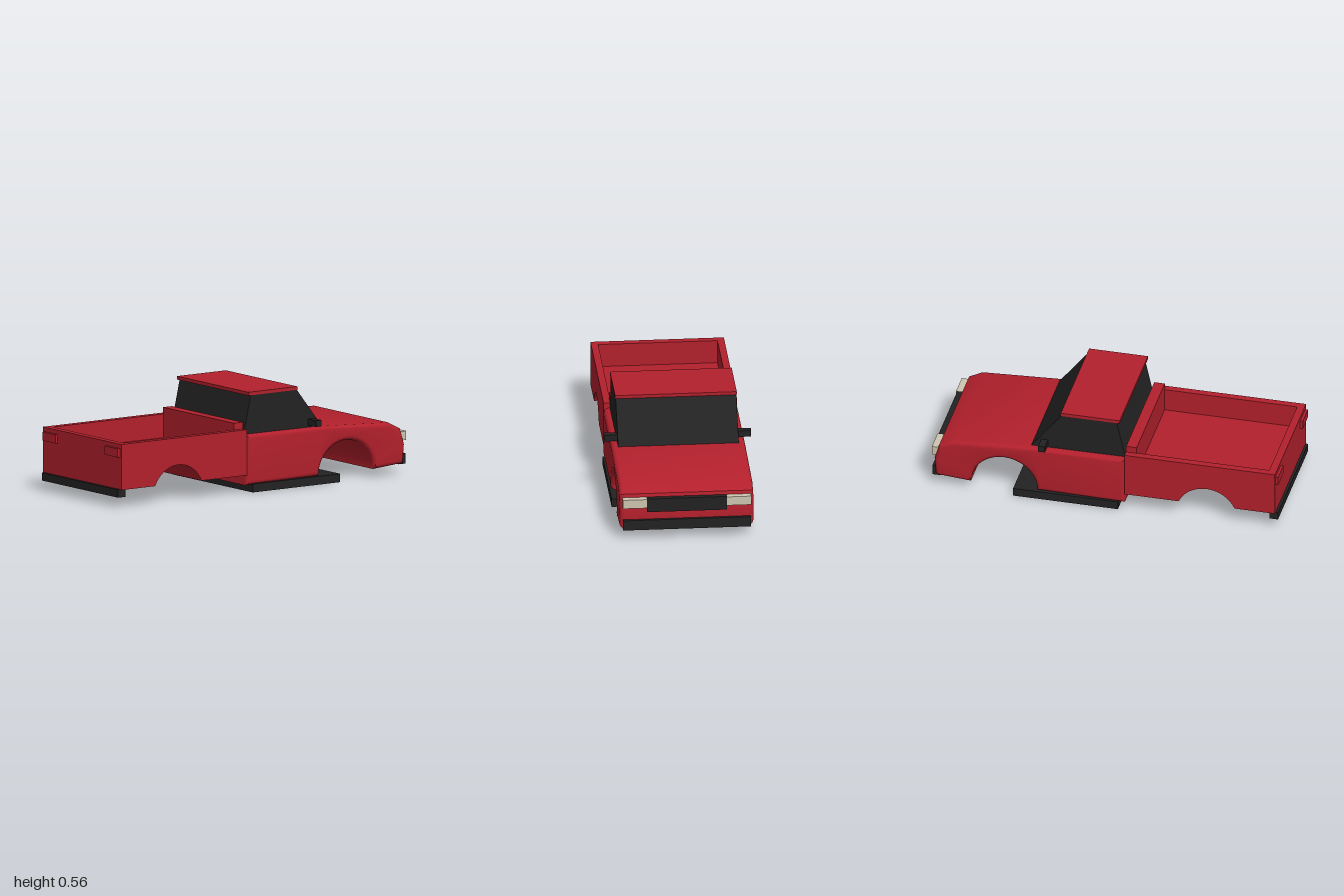
import * as THREE from 'three';
import { toCreasedNormals } from 'three/addons/utils/BufferGeometryUtils.js';

const red = new THREE.MeshStandardMaterial({ color: 0xb3202c });
red.name = 'red paint';
const black = new THREE.MeshStandardMaterial({ color: 0x222222 });
black.name = 'black trim';
const cream = new THREE.MeshStandardMaterial({ color: 0xcec5b0 });
cream.name = 'cream lamp';

export function createModel() {
  const truck = new THREE.Group();
  truck.name = 'pickupTruck';

  function add(name, geometry, material) {
    const mesh = new THREE.Mesh(geometry, material);
    mesh.name = name;
    truck.add(mesh);
    return mesh;
  }

  // Box given by its minimum and maximum on each axis
  function box(name, material, [x0, x1], [y0, y1], [z0, z1]) {
    const mesh = add(name, new THREE.BoxGeometry(x1 - x0, y1 - y0, z1 - z0), material);
    mesh.position.set((x0 + x1) / 2, (y0 + y1) / 2, (z0 + z1) / 2);
    return mesh;
  }

  // Side profile extruded across the width, with optional rounded side edges
  function across(shape, halfWidth, bevel = 0) {
    const geometry = new THREE.ExtrudeGeometry(shape, {
      depth: 2 * (halfWidth - bevel),
      bevelEnabled: bevel > 0,
      bevelSize: bevel,
      bevelThickness: bevel,
      bevelOffset: -bevel,
      bevelSegments: 4,
      curveSegments: 28,
    });
    geometry.translate(0, 0, bevel - halfWidth);
    return toCreasedNormals(geometry, 0.5);
  }

  // Wheel arch cut from the lower edge, travelling from right to left
  function arch(shape, cx, cy, r, yEdge) {
    const a = Math.asin((yEdge - cy) / r);
    shape.absarc(cx, cy, r, a, Math.PI - a, false);
  }

  // Cab lower body and bonnet
  const front = new THREE.Shape();
  front.moveTo(-0.115, 0.04);
  front.lineTo(-0.115, 0.328);
  front.lineTo(0.43, 0.325);
  front.lineTo(0.88, 0.302);
  front.lineTo(0.957, 0.262);
  front.lineTo(0.985, 0.17);
  front.lineTo(0.975, 0.062);
  front.lineTo(0.774, 0.047);
  arch(front, 0.582, 0.04, 0.192, 0.047);
  front.closePath();
  add('frontBody', across(front, 0.378, 0.025), red);

  // Load bed: floor block with wheel arches, then the rim walls
  const bed = new THREE.Shape();
  bed.moveTo(-0.985, 0.1);
  bed.lineTo(-0.985, 0.225);
  bed.lineTo(-0.115, 0.225);
  bed.lineTo(-0.115, 0.1);
  arch(bed, -0.59, 0.031, 0.175, 0.1);
  bed.closePath();
  add('bedBase', across(bed, 0.376), red);

  const rectangle = (Type, x0, x1, z) => new Type([
    new THREE.Vector2(x0, -z), new THREE.Vector2(x1, -z),
    new THREE.Vector2(x1, z), new THREE.Vector2(x0, z),
  ]);
  const rim = rectangle(THREE.Shape, -0.985, -0.115, 0.376);
  rim.holes.push(rectangle(THREE.Path, -0.943, -0.15, 0.336));
  const rimGeometry = new THREE.ExtrudeGeometry(rim, { depth: 0.135, bevelEnabled: false });
  rimGeometry.rotateX(-Math.PI / 2).translate(0, 0.225, 0);
  add('bedWalls', rimGeometry, red);
  box('bedHeadboard', red, [-0.178, -0.117], [0.225, 0.398], [-0.34, 0.34]);

  // Window block and roof
  const glass = new THREE.Shape();
  glass.moveTo(-0.113, 0.32);
  glass.lineTo(0.434, 0.32);
  glass.lineTo(0.256, 0.548);
  glass.lineTo(-0.062, 0.548);
  glass.closePath();
  add('cabWindows', across(glass, 0.34), black);
  box('roof', red, [-0.08, 0.26], [0.546, 0.565], [-0.343, 0.343]);

  // Underbody, bumpers and grille
  box('underbody', black, [-0.08, 0.525], [0, 0.048], [-0.385, 0.385]);
  box('frontBumper', black, [0.95, 0.997], [0.057, 0.116], [-0.36, 0.36]);
  box('rearBumper', black, [-1, -0.95], [0.057, 0.102], [-0.365, 0.365]);
  box('grille', black, [0.95, 0.993], [0.163, 0.243], [-0.226, 0.226]);

  // Paired lamps and mirrors
  for (const [side, s] of [['left', -1], ['right', 1]]) {
    const span = (a, b) => (s > 0 ? [a, b] : [-b, -a]);
    box(side + 'Headlight', cream, [0.95, 1], [0.191, 0.243], span(0.226, 0.362));
    box(side + 'TailLight', red, [-1, -0.98], [0.285, 0.335], span(0.235, 0.36));
    box(side + 'Mirror', black, [0.335, 0.373], [0.336, 0.373], span(0.33, 0.415));
  }

  return truck;
}
